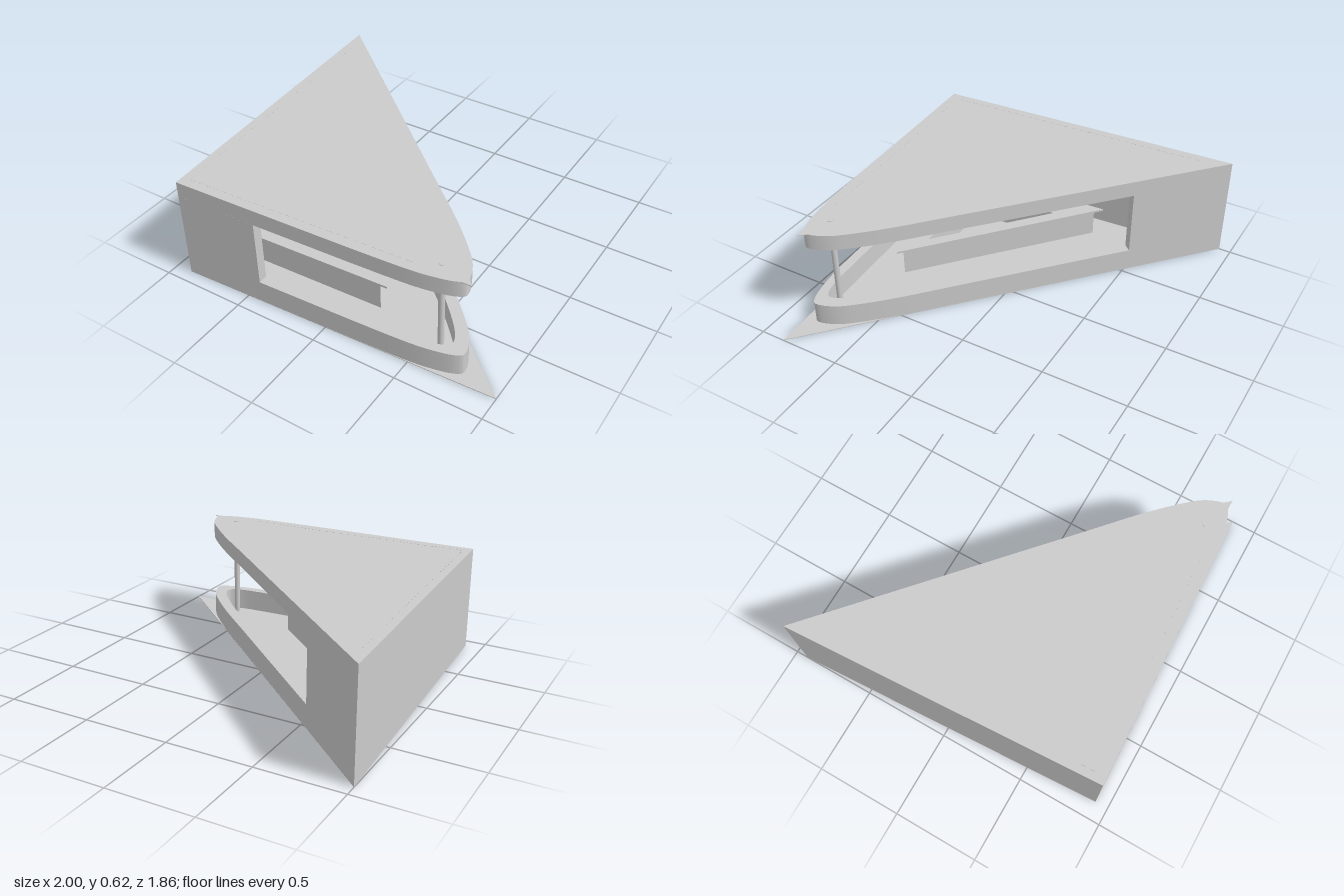
import * as THREE from 'three';
import { toCreasedNormals } from 'three/addons/utils/BufferGeometryUtils.js';

const material = new THREE.MeshStandardMaterial({ color: 0xcccccc, side: THREE.DoubleSide });

// Plan points are [x, z]; the plan is extruded upwards from y0 to y1
const toPlan = (points) => points.map(([x, z]) => new THREE.Vector2(x, -z));

function slab(name, outline, y0, y1, hole) {
  const shape = new THREE.Shape(toPlan(outline));
  if (hole) shape.holes.push(new THREE.Path(toPlan(hole)));
  const geometry = new THREE.ExtrudeGeometry(shape, { depth: y1 - y0, bevelEnabled: false });
  geometry.rotateX(-Math.PI / 2).translate(0, y0, 0);
  const mesh = new THREE.Mesh(toCreasedNormals(geometry, 0.5), material);
  mesh.name = name;
  return mesh;
}

// Two sharp corners joined by a smooth curve round the tip
function roundedPlan(back, front, tip) {
  const curve = new THREE.SplineCurve(tip.map(([x, z]) => new THREE.Vector2(x, z)));
  return [back, front, ...curve.getPoints(60).map((p) => [p.x, p.y])];
}

export function createModel() {
  const group = new THREE.Group();
  const back = [-1, -0.93], front = [-0.9, 0.925], tip = [1, 0.855];
  const innerBack = [-0.938, -0.8], innerFront = [-0.845, 0.865];

  const outer = roundedPlan(back, front, [
    [0.2, 0.884], [0.5, 0.868], [0.66, 0.845], [0.755, 0.815], [0.782, 0.775],
    [0.745, 0.675], [0.66, 0.57], [0.5, 0.41], [0.25, 0.187], [0, -0.037]]);
  const inner = roundedPlan(innerBack, innerFront, [
    [0.2, 0.828], [0.5, 0.813], [0.62, 0.8], [0.68, 0.775], [0.692, 0.74],
    [0.66, 0.675], [0.58, 0.58], [0.45, 0.45], [0.2, 0.222], [-0.037, 0.01]]);

  // Base plate, walls and roof
  group.add(slab('basePlate', [back, front, tip], 0, 0.004));
  group.add(slab('lowerBand', outer, 0.004, 0.135, inner));
  group.add(slab('cornerWalls', [
    [-0.41, 0.907], front, back, [-0.54, -0.52],
    [-0.577, -0.479], innerBack, innerFront, [-0.412, 0.85]], 0.135, 0.527));
  group.add(slab('upperBand', outer, 0.527, 0.617, inner));
  group.add(slab('roof', outer, 0.617, 0.621));
  group.add(slab('roofPoint',
    [[0.74, 0.812], [0.82, 0.812], [0.797, 0.79], [0.782, 0.768], [0.75, 0.77]], 0.617, 0.621));

  // Column at the open tip
  const column = new THREE.Mesh(new THREE.CylinderGeometry(0.017, 0.017, 0.624, 24), material);
  column.name = 'column';
  column.position.set(0.62, 0.312, 0.745);
  group.add(column);

  // Triangular counter with an open middle
  const well = [[0.02, 0.535], [-0.45, 0.55], [-0.57, 0.443], [-0.59, 0.02]];
  group.add(slab('counterBase',
    [[0.17, 0.615], [-0.71, 0.64], [-0.755, -0.18]], 0.004, 0.173, well));
  group.add(slab('counterTop',
    [[0.22, 0.625], [-0.73, 0.66], [-0.78, -0.23]], 0.173, 0.185, well));

  // Dashed strips along two edges of the roof
  const strips = [[[-0.94, -0.76], [-0.855, 0.865]], [[-0.855, 0.865], [0.5, 0.81]]];
  for (const [[x0, z0], [x1, z1]] of strips) {
    const length = Math.hypot(x1 - x0, z1 - z0);
    const count = Math.round(length / 0.05);
    for (let i = 0; i < count; i++) {
      const t = (i + 0.5) / count;
      const dash = new THREE.Mesh(new THREE.BoxGeometry(0.03, 0.004, 0.006), material);
      dash.name = 'roofDash';
      dash.position.set(x0 + (x1 - x0) * t, 0.62, z0 + (z1 - z0) * t);
      dash.rotation.y = -Math.atan2(z1 - z0, x1 - x0);
      group.add(dash);
    }
  }
  return group;
}
